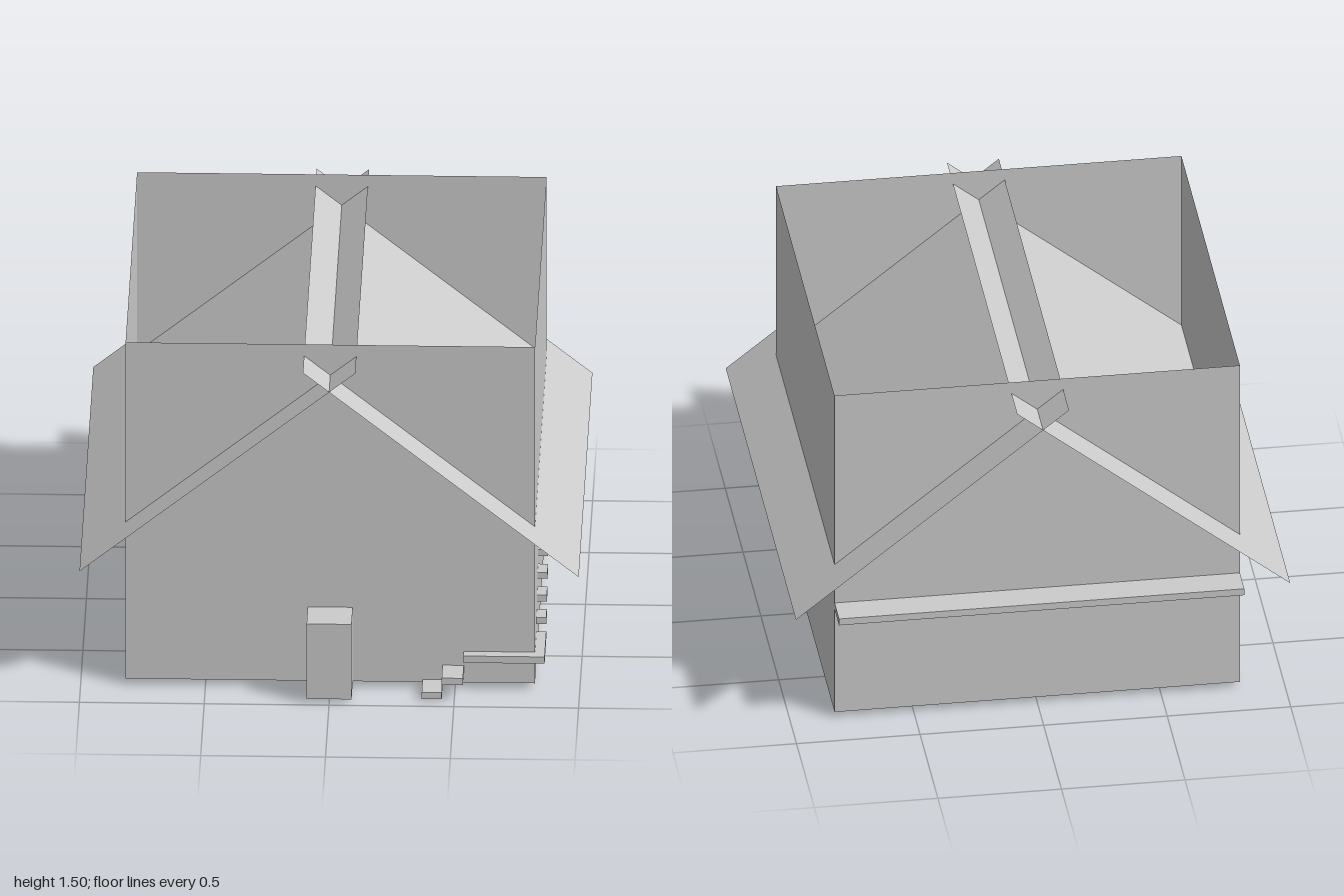
import * as THREE from 'three';

const material = new THREE.MeshStandardMaterial({ color: 0xcccccc, flatShading: true });
const thinMaterial = new THREE.MeshStandardMaterial({ color: 0xcccccc, flatShading: true, side: THREE.DoubleSide });

// Box given by its extents on each axis
function block(name, [x0, x1], [y0, y1], [z0, z1]) {
  const mesh = new THREE.Mesh(new THREE.BoxGeometry(x1 - x0, y1 - y0, z1 - z0), material);
  mesh.position.set((x0 + x1) / 2, (y0 + y1) / 2, (z0 + z1) / 2);
  mesh.name = name;
  return mesh;
}

export function createModel() {
  const model = new THREE.Group();
  model.name = 'house';
  const W = 0.82;

  // Thin walls and floor: a box without its top face
  const shell = new THREE.BoxGeometry(2 * W, 1.48, 2 * W);
  const index = Array.from(shell.index.array);
  index.splice(12, 6);
  shell.setIndex(index);
  shell.clearGroups();
  const walls = new THREE.Mesh(shell, thinMaterial);
  walls.position.y = 0.765;
  walls.name = 'walls';
  model.add(walls);

  // Two flat roof sheets that cross at the ridge
  const run = 1.105, rise = 0.885;
  for (const side of [-1, 1]) {
    const sheet = new THREE.PlaneGeometry(Math.hypot(run, rise), 1.97);
    sheet.rotateX(-Math.PI / 2);
    sheet.rotateZ(-side * Math.atan2(rise, run));
    const roof = new THREE.Mesh(sheet, thinMaterial);
    roof.position.set(side * (1 - run / 2), 0.57 + rise / 2, 0);
    roof.name = side > 0 ? 'roofLeft' : 'roofRight';
    model.add(roof);
  }

  // Door block, rear ledge and slab under the floor
  model.add(block('door', [-0.09, 0.09], [0.02, 0.35], [0.8, 0.985]));
  model.add(block('rearLedge', [-W, W], [0.505, 0.535], [-0.945, -0.8]));
  model.add(block('floorHatch', [0.37, 0.615], [0, 0.025], [-0.675, -0.31]));

  // Stairs: two front steps, a corner landing, then a flight up the side
  const stairs = new THREE.Group();
  stairs.name = 'stairs';
  stairs.add(block('frontStep1', [0.37, 0.45], [0.008, 0.036], [0.62, 0.945]));
  stairs.add(block('frontStep2', [0.45, 0.535], [0.07, 0.1], [0.62, 0.945]));
  stairs.add(block('landing', [0.535, 0.86], [0.132, 0.162], [0.62, 0.865]));
  for (let i = 0; i < 6; i++) {
    const y = 0.195 + i * 0.062, z = 0.62 - i * 0.0825;
    stairs.add(block('sideStep' + (i + 1), [0.8, 0.86], [y, y + 0.028], [z - 0.0825, z]));
  }
  model.add(stairs);

  return model;
}
